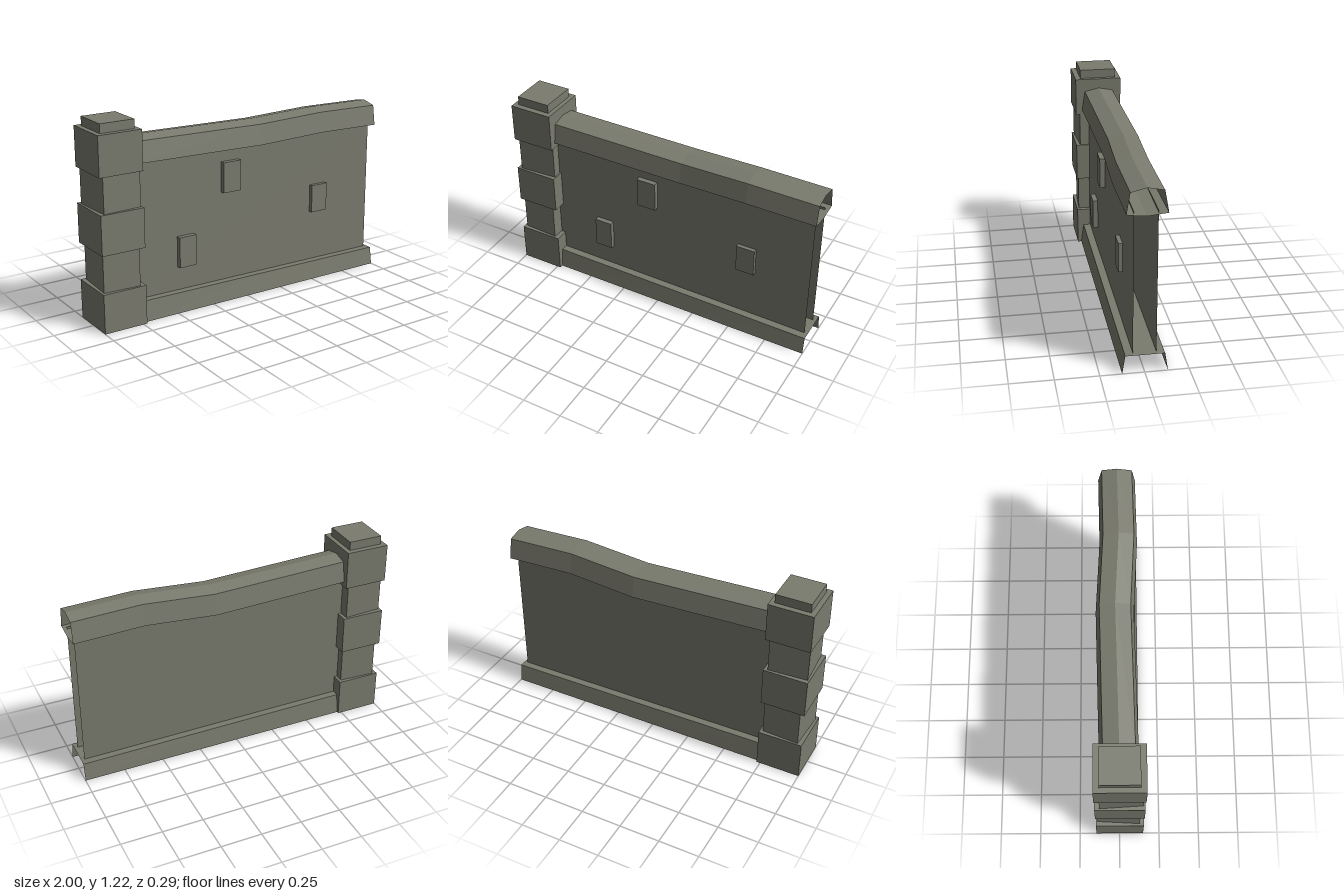
import * as THREE from 'three';

const stone = new THREE.MeshStandardMaterial({ color: 0x7a7b6e, flatShading: true, side: THREE.DoubleSide });
stone.name = 'grey stone';

function box(name, x0, x1, y0, y1, z0, z1, yaw = 0) {
  const mesh = new THREE.Mesh(new THREE.BoxGeometry(x1 - x0, y1 - y0, z1 - z0), stone);
  mesh.position.set((x0 + x1) / 2, (y0 + y1) / 2, (z0 + z1) / 2);
  mesh.rotation.y = yaw;
  mesh.name = name;
  return mesh;
}

// Skin a row of cross-sections; ends stay open.
function loft(name, sections, closed) {
  const pos = [];
  const n = sections[0].length;
  for (let i = 0; i < sections.length - 1; i++) {
    for (let j = 0; j < (closed ? n : n - 1); j++) {
      const k = (j + 1) % n;
      const a = sections[i][j], b = sections[i + 1][j];
      const c = sections[i + 1][k], d = sections[i][k];
      pos.push(...a, ...b, ...c, ...a, ...c, ...d);
    }
  }
  const geo = new THREE.BufferGeometry();
  geo.setAttribute('position', new THREE.Float32BufferAttribute(pos, 3));
  geo.computeVertexNormals();
  const mesh = new THREE.Mesh(geo, stone);
  mesh.name = name;
  return mesh;
}

export function createModel() {
  const model = new THREE.Group();
  model.name = 'stoneWall';

  // Pillar of wide blocks with slightly twisted narrow ones between
  const pillar = new THREE.Group();
  pillar.name = 'pillar';
  for (const [y0, y1] of [[0, 0.24], [0.47, 0.71], [0.925, 1.165]]) {
    pillar.add(box('pillarBlock', -1, -0.727, y0, y1, -0.146, 0.149));
  }
  pillar.add(box('lowerNeck', -0.979, -0.751, 0.24, 0.47, -0.129, 0.131, -0.055));
  pillar.add(box('upperNeck', -0.982, -0.742, 0.71, 0.925, -0.125, 0.131, 0.06));
  pillar.add(box('pillarCap', -0.97, -0.755, 1.165, 1.22, -0.113, 0.115));
  model.add(pillar);

  // Two thin wall faces, open at the end
  for (const [name, z, turn] of [['frontPanel', 0.063, 0], ['backPanel', -0.068, Math.PI]]) {
    const panel = new THREE.Mesh(new THREE.PlaneGeometry(1.74, 0.85), stone);
    panel.position.set(0.11, 0.535, z);
    panel.rotation.y = turn;
    panel.name = name;
    model.add(panel);
  }

  // Wavy coping: hollow tube with [z, y] profile, swaying along the wall
  const coping = [[0.11, 0], [0.09, 0.125], [0, 0.146], [-0.092, 0.128], [-0.115, 0], [0, -0.012]];
  const stations = [[-0.76, 0.958, 0], [0.13, 0.938, -0.019], [0.57, 0.96, 0.004], [1, 0.95, -0.004]];
  model.add(loft('coping', stations.map(([x, y, sway]) =>
    coping.map(([z, h]) => [x, y + h, z + sway])), true));

  // Plinth: sloping skirt, open below
  model.add(loft('plinth', [[-0.76, 0.126], [0.13, 0.118], [1, 0.11]].map(([x, top]) =>
    [[x, 0, 0.126], [x, top, 0.109], [x, top, -0.113], [x, 0, -0.131]]), false));

  // Raised stones on the front face
  for (const [x0, x1, y0, y1, z1] of [
    [-0.155, -0.032, 0.682, 0.87, 0.094],
    [-0.465, -0.352, 0.27, 0.46, 0.094],
    [0.515, 0.632, 0.438, 0.615, 0.088],
  ]) model.add(box('raisedStone', x0, x1, y0, y1, 0.06, z1));

  return model;
}
